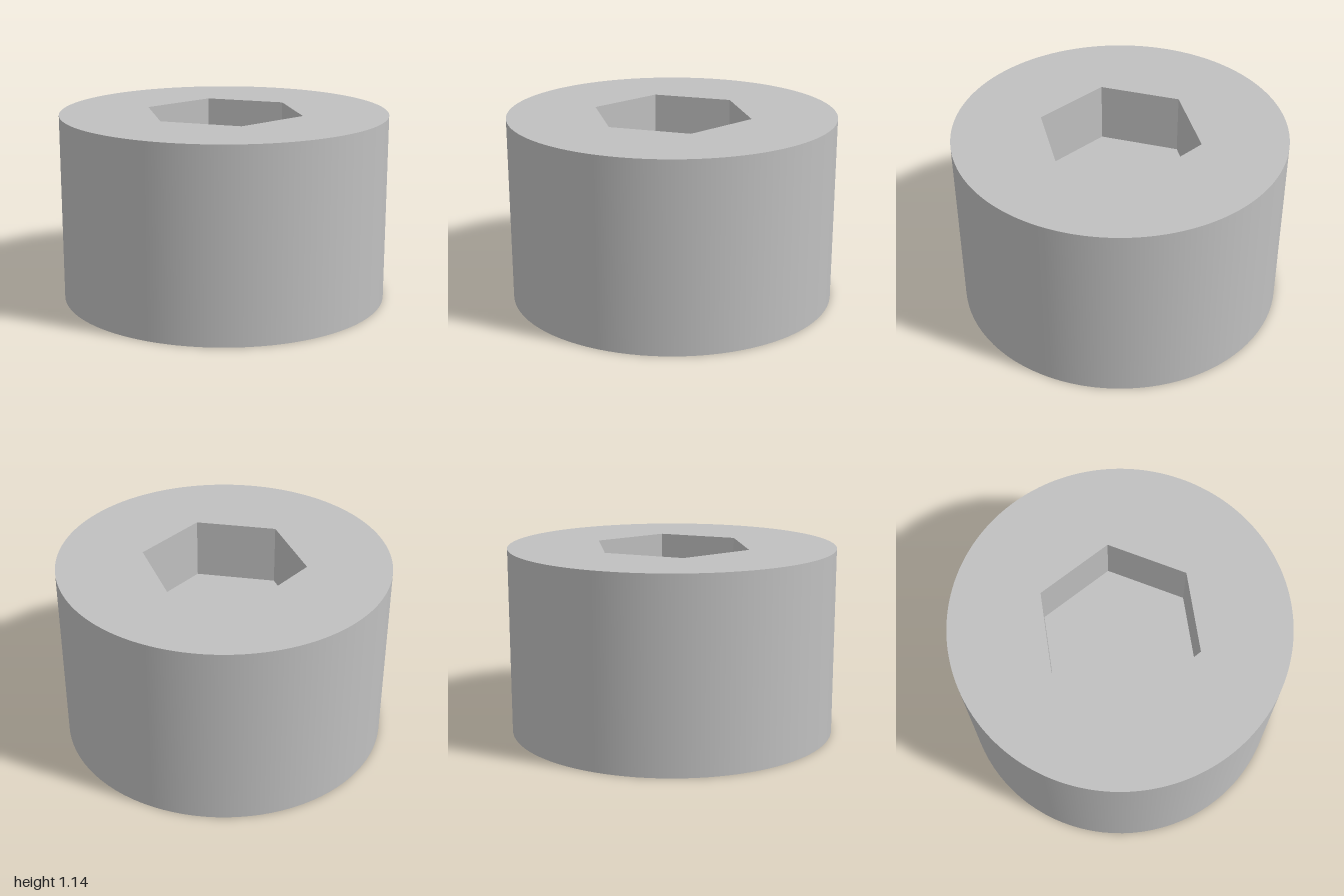
import * as THREE from 'three';

const RADIUS = 1, HEIGHT = 1.143;
const SOCKET_RADIUS = 0.497, SOCKET_DEPTH = 0.375;
const SEGMENTS = 96;

export function createModel() {
  const group = new THREE.Group();
  group.name = 'socketCap';

  // Thin shell, open underneath, so both sides show
  const steel = new THREE.MeshStandardMaterial({ color: 0xc0c0c0, side: THREE.DoubleSide });
  steel.name = 'greySteel';

  const add = (name, geometry, y) => {
    const mesh = new THREE.Mesh(geometry, steel);
    mesh.name = name;
    mesh.position.y = y;
    group.add(mesh);
  };

  // Round outer wall
  add('outerWall', new THREE.CylinderGeometry(RADIUS, RADIUS, HEIGHT, SEGMENTS, 1, true), HEIGHT / 2);

  // Top face with a hexagonal opening, corners along z
  const disc = new THREE.Shape().absarc(0, 0, RADIUS, 0, Math.PI * 2);
  const corners = Array.from({ length: 6 }, (_, i) => {
    const a = Math.PI / 2 + i * Math.PI / 3;
    return new THREE.Vector2(Math.cos(a), Math.sin(a)).multiplyScalar(SOCKET_RADIUS);
  });
  disc.holes.push(new THREE.Path(corners.reverse()));
  add('topFace', new THREE.ShapeGeometry(disc, SEGMENTS).rotateX(-Math.PI / 2), HEIGHT);

  // Flat-sided socket walls
  const walls = new THREE.CylinderGeometry(SOCKET_RADIUS, SOCKET_RADIUS, SOCKET_DEPTH, 6, 1, true).toNonIndexed();
  walls.computeVertexNormals();
  add('socketWalls', walls, HEIGHT - SOCKET_DEPTH / 2);

  // Socket floor
  const floor = new THREE.CircleGeometry(SOCKET_RADIUS, 6, Math.PI / 2).rotateX(-Math.PI / 2);
  add('socketFloor', floor, HEIGHT - SOCKET_DEPTH);

  return group;
}
